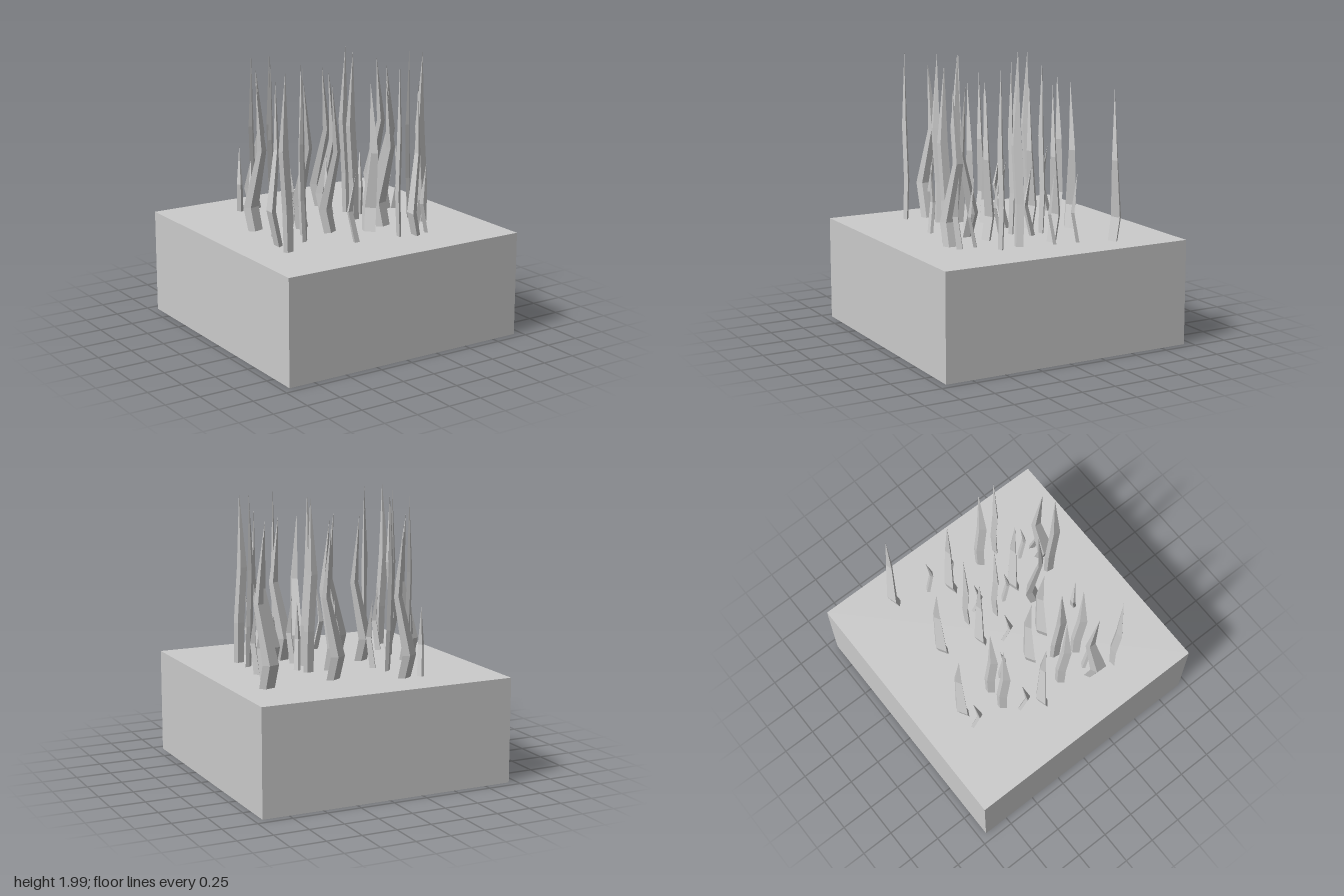
import * as THREE from 'three';

const material = new THREE.MeshStandardMaterial({ color: 0xcccccc, flatShading: true, side: THREE.DoubleSide });

// Four-sided blade: a unit cylinder whose rings are moved to [y, x, z, scale].
// The cross-section is a diamond, long by wide, leaning by skew; scale 0 makes the tip.
function bladeGeometry(long, wide, skew, rings) {
  const geometry = new THREE.CylinderGeometry(1, 1, 1, 4, rings.length - 1);
  const p = geometry.attributes.position;
  for (let i = 0; i < p.count; i++) {
    const level = Math.round((p.getY(i) + 0.5) * (rings.length - 1));
    const [y, x, z, s] = rings[level];
    const u = p.getX(i) * s, v = p.getZ(i) * s;
    p.setXYZ(i, x + u * long - v * skew, y, z + v * wide - u * 0.008);
  }
  geometry.computeVertexNormals();
  return geometry;
}

// Plants one kind of blade at points [x, z, optional lift], all turned alike (degrees)
function plant(group, name, geometry, turn, points) {
  for (const [x, z, lift = 0] of points) {
    const blade = new THREE.Mesh(geometry, material);
    blade.name = name;
    blade.position.set(x, lift, z);
    blade.rotation.y = -THREE.MathUtils.degToRad(turn);
    group.add(blade);
  }
}

export function createModel() {
  const model = new THREE.Group();

  // Hollow ground block, open underneath
  const box = new THREE.BoxGeometry(1.884, 0.755, 1.884);
  box.setIndex([...box.index.array].filter((_, i) => i < 18 || i >= 24));
  const ground = new THREE.Mesh(box, material);
  ground.name = 'groundBlock';
  ground.position.y = 0.3775;
  model.add(ground);

  const grass = new THREE.Group();
  grass.name = 'grass';
  model.add(grass);

  // Broad blades with a strong double bend
  const bent = bladeGeometry(0.058, 0.033, 0.012, [
    [0.62, 0.01, 0.04, 0.9], [0.92, -0.03, -0.014, 1], [1.33, 0.042, 0.024, 0.6], [1.82, 0.005, 0.02, 0],
  ]);
  plant(grass, 'bentBlade', bent, 0, [[-0.27, -0.63], [0.195, -0.46], [-0.25, -0.005], [-0.14, 0.19]]);
  plant(grass, 'bentBlade', bent, 14, [[0.715, -0.5], [-0.555, -0.13], [0.083, -0.19], [0.535, -0.115, 0.03], [0.27, 0.26]]);
  plant(grass, 'bentBlade', bent, 75, [[0.113, 0.335]]);
  plant(grass, 'bentBlade', bent, -57, [[-0.65, 0.27, 0.09], [0.315, 0.565]]);

  // Tall, nearly straight blades
  const tall = bladeGeometry(0.04, 0.02, 0.01, [
    [0.65, 0.015, 0.008, 0.85], [1.05, 0.01, -0.006, 0.95], [1.45, -0.015, 0.003, 0.9], [1.99, 0, 0, 0],
  ]);
  plant(grass, 'tallBlade', tall, -20, [[-0.435, -0.375], [-0.29, -0.37], [-0.54, 0.07], [-0.43, 0.3], [0.54, 0.18]]);
  plant(grass, 'tallBlade', tall, 22, [[0.237, -0.185], [0.165, 0.02], [-0.657, 0.45], [0.555, 0.32]]);
  plant(grass, 'tallBlade', tall, -52, [[-0.363, 0.17], [0.19, 0.557]]);

  // Short blades with one kink
  const short = bladeGeometry(0.022, 0.025, 0.004, [
    [0.67, 0.043, 0, 1], [0.97, -0.025, 0, 0.85], [1.25, 0.018, 0, 0],
  ]);
  plant(grass, 'shortBlade', short, -60, [[-0.415, -0.6], [-0.52, -0.255], [-0.03, -0.025], [0.28, -0.057]]);
  plant(grass, 'shortBlade', short, -100, [
    [-0.22, -0.22], [0.63, -0.225], [0.605, -0.055], [-0.535, 0.3], [0.23, 0.165], [0.425, 0.47],
  ]);
  plant(grass, 'shortBlade', short, 50, [[-0.145, 0.495]]);
  plant(grass, 'shortBlade', short, -10, [[0.4, 0.57]]);

  return model;
}
